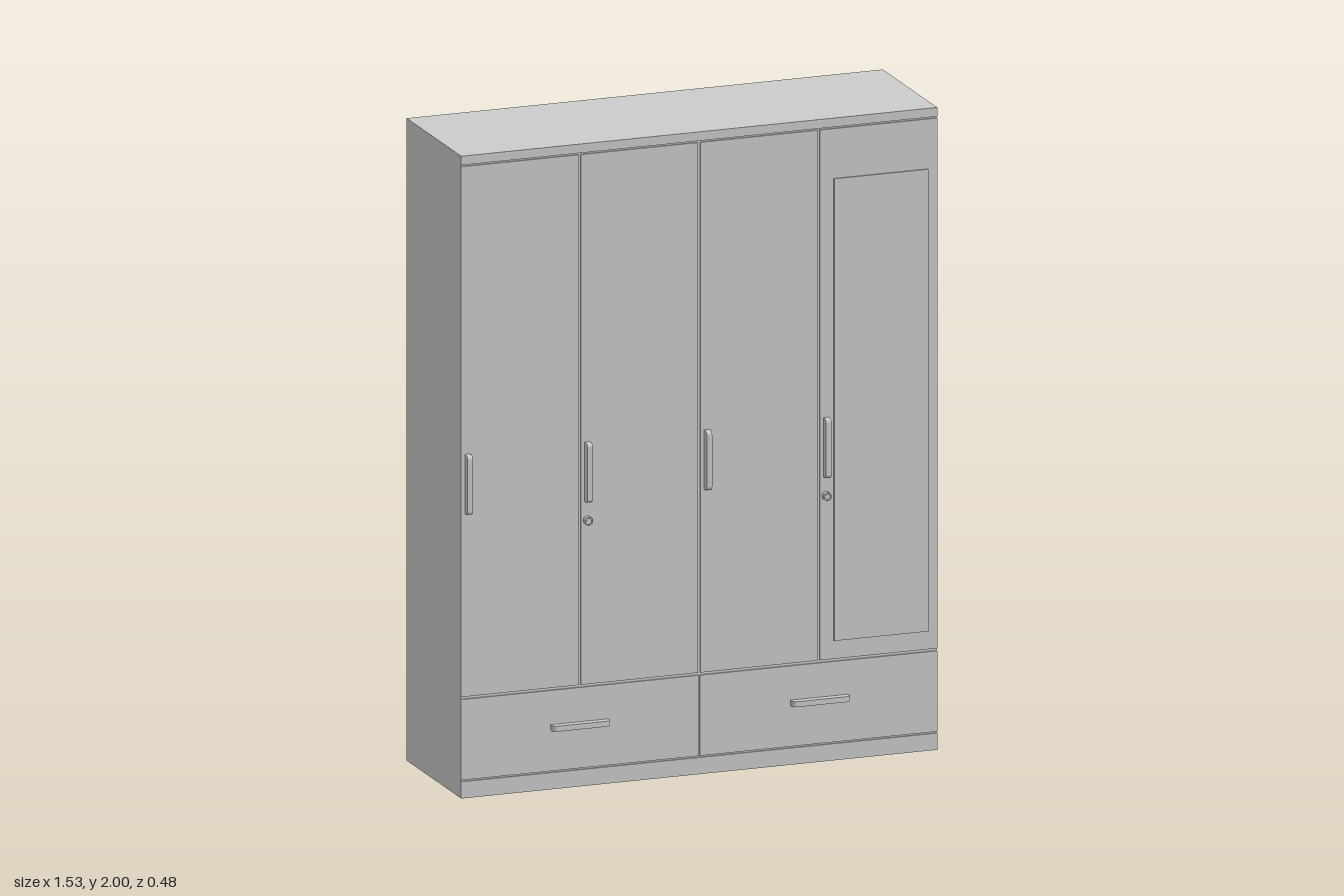
import * as THREE from 'three';

const grey = new THREE.MeshStandardMaterial({ color: 0xcccccc });
const W = 0.765, H = 2, BACK = -0.24, FRONT = 0.212, T = 0.004;

// Box given by its limits on each axis
function box(parent, name, x0, x1, y0, y1, z0, z1) {
  const m = new THREE.Mesh(new THREE.BoxGeometry(x1 - x0, y1 - y0, z1 - z0), grey);
  m.position.set((x0 + x1) / 2, (y0 + y1) / 2, (z0 + z1) / 2);
  m.name = name;
  parent.add(m);
  return m;
}

// Solid pull bar, its two outer corners rounded
function handle(parent, name, x, y, horizontal) {
  const L = 0.185, w = 0.017, d = 0.025, r = 0.012;
  const s = new THREE.Shape();
  s.moveTo(-L / 2, 0);
  s.lineTo(L / 2, 0);
  s.lineTo(L / 2, d - r);
  s.absarc(L / 2 - r, d - r, r, 0, Math.PI / 2);
  s.absarc(-L / 2 + r, d - r, r, Math.PI / 2, Math.PI);
  s.closePath();
  const g = new THREE.ExtrudeGeometry(s, { depth: w, bevelEnabled: false, curveSegments: 6 });
  g.translate(0, 0, -w / 2).rotateX(Math.PI / 2);
  if (!horizontal) g.rotateZ(Math.PI / 2);
  const m = new THREE.Mesh(g, grey);
  m.position.set(x, y, 0.216);
  m.name = name;
  parent.add(m);
}

// Round key lock with a slot plate
function lock(parent, x, y) {
  const g = new THREE.Group();
  g.name = 'lock';
  const barrel = new THREE.Mesh(new THREE.CylinderGeometry(0.013, 0.013, 0.016, 24), grey);
  barrel.rotation.x = Math.PI / 2;
  barrel.name = 'lockBarrel';
  const ring = new THREE.Mesh(new THREE.TorusGeometry(0.0105, 0.0025, 8, 24), grey);
  ring.position.z = 0.007;
  ring.name = 'lockRing';
  g.add(barrel, ring);
  g.position.set(x, y, 0.224);
  parent.add(g);
}

export function createModel() {
  const root = new THREE.Group();
  root.name = 'wardrobe';

  // Thin outer carcass, open at the back
  const carcass = new THREE.Group();
  carcass.name = 'carcass';
  root.add(carcass);
  box(carcass, 'rightSide', -W, -W + T, 0, H, BACK, FRONT);
  box(carcass, 'leftSide', W - T, W, 0, H, BACK, FRONT);
  box(carcass, 'top', -W + T, W - T, H - T, H, BACK, FRONT);
  box(carcass, 'bottom', -W + T, W - T, 0, T, BACK, FRONT);
  box(carcass, 'frontFrame', -W + T, W - T, T, H - T, 0.2, FRONT);
  box(carcass, 'topRail', -W, W, 1.972, H, FRONT, 0.217);
  box(carcass, 'plinth', -W, W, 0, 0.052, FRONT, 0.217);

  for (const s of [-1, 1]) {
    // Inner compartments, seen from behind with gaps between them
    const a = s < 0 ? -0.743 : 0.011, b = s < 0 ? -0.011 : 0.743;
    box(root, 'cabinetCompartment', a, b, 0.318, 1.965, BACK, 0.2);
    box(root, 'drawerCompartment', a, b, 0.055, 0.295, BACK, 0.2);

    // Drawer front
    box(root, 'drawerFront', s < 0 ? -W : 0.003, s < 0 ? -0.003 : W, 0.057, 0.308, FRONT, 0.217);
    handle(root, 'drawerHandle', s * 0.385, 0.193, true);
  }

  // Four doors, each with a handle by its right edge
  const edges = [-W, -0.384, 0, 0.384, W];
  const handleX = [-0.745, -0.36, 0.024, 0.407];
  for (let i = 0; i < 4; i++) {
    const l = edges[i] + (i > 0 ? 0.004 : 0), r = edges[i + 1] - (i < 3 ? 0.004 : 0);
    box(root, 'door', l, r, 0.316, 1.967, FRONT, 0.217);
    handle(root, 'doorHandle', handleX[i], 0.978, false);
    if (i % 2) lock(root, handleX[i], 0.827);
  }

  // Mirror on the leftmost door
  box(root, 'mirror', 0.432, 0.735, 0.373, 1.812, 0.217, 0.222);

  return root;
}
